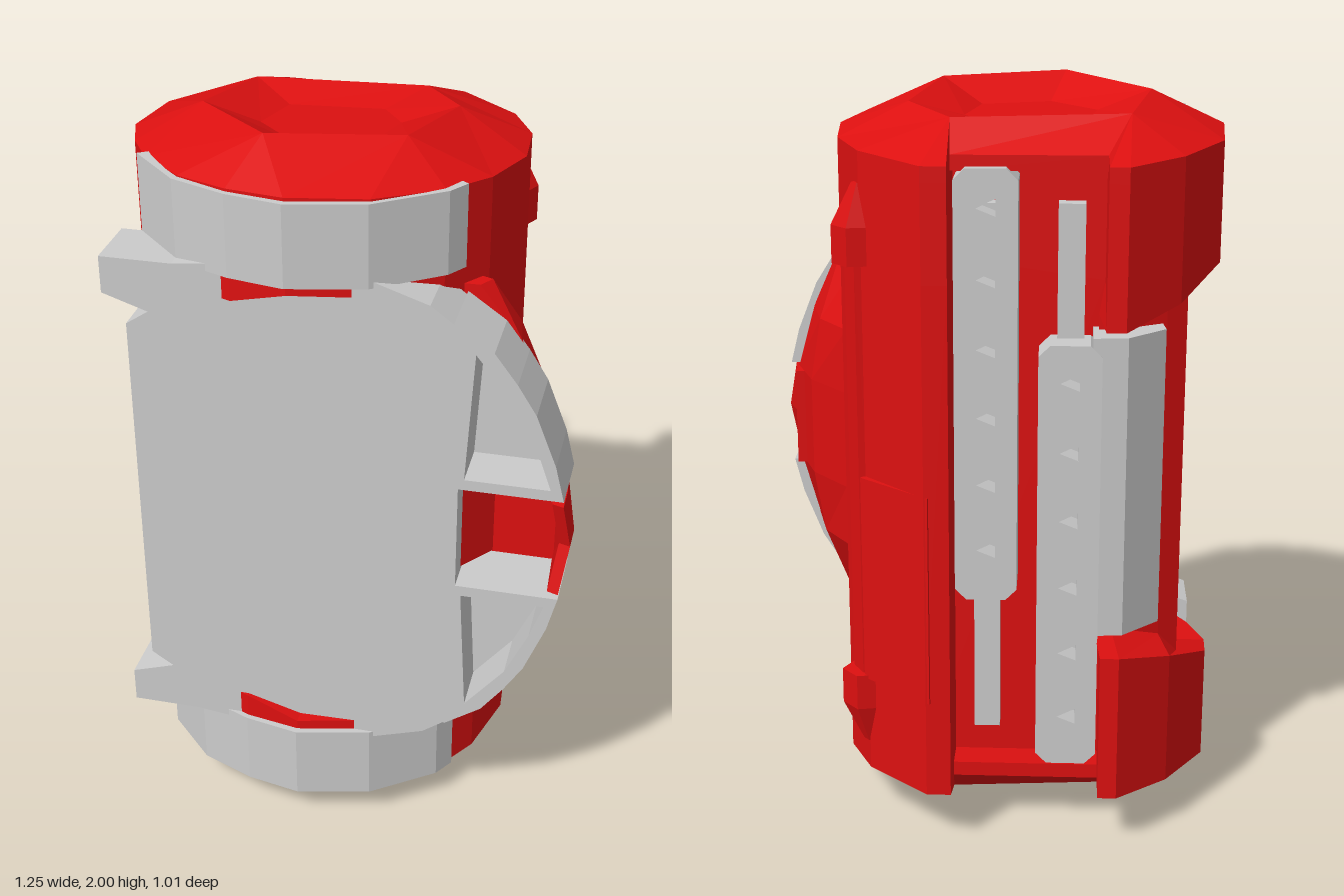
import * as THREE from 'three';

const red = new THREE.MeshStandardMaterial({ color: 0xdd1010, flatShading: true, side: THREE.DoubleSide });
const grey = new THREE.MeshStandardMaterial({ color: 0xcccccc, flatShading: true, side: THREE.DoubleSide });

// skin through equal-length rings of [x, y, z], listed bottom to top, closed by end fans
function loft(rings) {
  const n = rings[0].length, pos = rings.flat(2), idx = [];
  for (let r = 0; r < rings.length - 1; r++) {
    for (let i = 0; i < n; i++) {
      const j = (i + 1) % n, a = r * n + i, b = r * n + j;
      idx.push(a, b, b + n, a, b + n, a + n);
    }
  }
  [[0, true], [rings.length - 1, false]].forEach(([r, flip]) => {
    const c = pos.length / 3;
    for (let k = 0; k < 3; k++) pos.push(rings[r].reduce((s, p) => s + p[k], 0) / n);
    for (let i = 0; i < n; i++) {
      const a = r * n + i, b = r * n + (i + 1) % n;
      idx.push(...(flip ? [c, b, a] : [c, a, b]));
    }
  });
  const g = new THREE.BufferGeometry();
  g.setAttribute('position', new THREE.Float32BufferAttribute(pos, 3));
  g.setIndex(idx);
  g.computeVertexNormals();
  return g;
}

const toShape = (pts) => new THREE.Shape(pts.map(([x, y]) => new THREE.Vector2(x, y)));

// front-facing outline [x, y], pushed from z0 to z1, with optional holes
function panel(pts, z0, z1, holes = []) {
  const s = toShape(pts);
  holes.forEach((h) => s.holes.push(toShape(h)));
  return new THREE.ExtrudeGeometry(s, { depth: z1 - z0, bevelEnabled: false }).translate(0, 0, z0);
}

// plan outline [x, z], raised from y0 to y1
function slab(pts, y0, y1) {
  const s = toShape(pts.map(([x, z]) => [x, -z]));
  return new THREE.ExtrudeGeometry(s, { depth: y1 - y0, bevelEnabled: false }).rotateX(-Math.PI / 2).translate(0, y0, 0);
}

const flipY = (pts) => pts.map(([x, y]) => [x, 2 - y]);

export function createModel() {
  const model = new THREE.Group();
  const add = (name, geo, mat) => {
    const m = new THREE.Mesh(geo, mat);
    m.name = name;
    model.add(m);
    return m;
  };
  // adds a part and its copy mirrored about mid height
  const addPair = (name, make, mat) => {
    add('upper' + name, make((p) => p, (a, b) => [a, b]), mat);
    add('lower' + name, make(flipY, (a, b) => [2 - b, 2 - a]), mat);
  };

  // plan of the canister; the last points trace the slot in its back
  const round = [[-0.36, -0.5], [-0.5, -0.37], [-0.61, -0.18], [-0.625, 0.04], [-0.58, 0.17], [-0.515, 0.28],
    [-0.39, 0.4], [-0.25, 0.46], [-0.1, 0.485], [0.1, 0.44], [0.26, 0.325], [0.35, 0.2], [0.405, 0.02],
    [0.39, -0.17], [0.32, -0.33], [0.15, -0.5]];
  const plan = (floor) => [...round, [0.085, -0.5], [0.085, floor], [-0.31, floor], [-0.31, -0.5]];
  const capPlan = plan(-0.37), slotPlan = plan(-0.27);
  const midPlan = slotPlan.map(([x, z]) => (x < -0.05 && z < -0.36
    ? [x * 0.95, z * 0.6]
    : [Math.min(Math.max(x, -0.53), 0.395), Math.min(z, 0.4)]));

  // six-sided rim and dish of the end caps
  const hex = [[-0.37, -0.23], [0.09, -0.28], [0.21, -0.1], [0.14, 0.21], [-0.2, 0.3], [-0.43, 0.06]];
  const angle = ([x, z]) => Math.atan2(z, x + 0.11);
  const gap = (a, b) => Math.abs(Math.atan2(Math.sin(a - b), Math.cos(a - b)));
  const rimPlan = capPlan.map((p) => hex.reduce((best, h) =>
    (gap(angle(h), angle(p)) < gap(angle(best), angle(p)) ? h : best)));
  const dishPlan = rimPlan.map(([x, z]) => [-0.11 + (x + 0.11) * 0.55, z * 0.55]);

  const edgeY = (x, z) => 1.885 + 0.07 * z;
  const stepY = (x, z) => (x < -0.1 ? 1.62 + 0.36 * Math.min(0, z) : 1.61 + 0.11 * z);
  const half = [
    [midPlan, stepY],
    [slotPlan, stepY],
    [slotPlan, (x, z) => edgeY(x, z) - 0.04],
    [capPlan, (x, z) => edgeY(x, z) - 0.04],
    [capPlan, edgeY],
    [rimPlan, (x, z) => 1.969 + 0.104 * z],
    [dishPlan, (x, z) => 1.92 + 0.05 * z],
  ];
  const upper = half.map(([pl, f]) => pl.map(([x, z], i) => [x, f(...(pl === midPlan ? slotPlan[i] : [x, z])), z]));
  const lower = upper.map((ring) => ring.map(([x, y, z]) => [x, 2 - y, z])).reverse();
  add('canisterBody', loft([...lower, ...upper]), red);

  // side bulge that carries the grip
  const bulge = [[0.36, 0.34, 0.22, 0.34], [0.5, 0.45, 0.1, 0.37], [0.68, 0.53, -0.02, 0.4], [0.86, 0.58, -0.02, 0.41]];
  const sections = [...bulge, ...bulge.map(([y, ...r]) => [2 - y, ...r]).reverse()];
  add('gripBulge', loft(sections.map(([y, xo, zs, xs]) => [
    [0.2, y, zs], [0.2, y, 0.27], [xo, y, 0.27],
    [(xo + xs) / 2 + 0.025, y, (zs + 0.27) / 2 - 0.015], [xs, y, zs],
  ])), red);

  // front plate with a tab at each left-hand corner
  const plateTop = [[-0.53, 1.52], [-0.47, 1.56], [-0.59, 1.6], [-0.59, 1.7], [-0.4, 1.7], [-0.15, 1.73],
    [0.1, 1.71], [0.25, 1.66], [0.33, 1.6]];
  add('frontPlate', panel([...plateTop, ...flipY(plateTop).reverse()], 0.28, 0.45), grey);

  // curved bands wrapping the front of both ends
  const bandOut = [[-0.535, 0.28], [-0.4, 0.415], [-0.25, 0.475], [-0.1, 0.503], [0.1, 0.457], [0.27, 0.335], [0.305, 0.28]];
  const bandIn = bandOut.map(([x, z]) => [-0.11 + (x + 0.11) * 0.9, z * 0.9]).reverse();
  addPair('FrontBand', (f, span) => slab([...bandOut, ...bandIn], ...span(1.69, 1.91)), grey);

  // arched guards beside the plate, each with a sunken pocket
  const arch = [[0.31, 1.15], [0.31, 1.62], [0.41, 1.55], [0.47, 1.47], [0.52, 1.39], [0.575, 1.25], [0.6, 1.15]];
  const pocket = [[0.345, 1.18], [0.365, 1.54], [0.47, 1.41], [0.53, 1.28], [0.565, 1.18]];
  addPair('GuardArch', (f) => panel(f(arch), 0.26, 0.45, [f(pocket)]), grey);
  addPair('GuardPocketFloor', (f) => panel(f(pocket), 0.27, 0.31), grey);

  // red latch between the guards
  add('latchFloor', slab([[0.31, 0.2], [0.58, 0.2], [0.58, 0.28], [0.4, 0.28], [0.31, 0.4]], 0.86, 1.14), red);
  const latch = [[0.56, 0.26], [0.585, 0.26], [0.6, 0.37], [0.6, 0.45], [0.57, 0.44]];
  add('latchLip', loft([0.865, 1, 1.135].map((y, k) => latch.map(([x, z], i) =>
    (k === 1 && i > 1 ? [x + 0.02, y, z - 0.03] : [x, y, z])).map((p) => [p[0], p[1], p[2]]).reverse())), red);

  // lugs and the ridge joining them
  const lug = [[0.3, -0.35], [0.35, -0.36], [0.395, -0.31], [0.37, -0.26], [0.3, -0.24]];
  const lugTip = lug.map(([x, z]) => [0.31 + (x - 0.31) * 0.35, -0.31 + (z + 0.31) * 0.35]);
  addPair('Lug', (f) => {
    const ring = (pts, y) => pts.map(([x, z]) => [x, f([[x, y]])[0][1], z]);
    return loft([ring(lug, 1.57), ring(lug, 1.67), ring(lugTip, 1.78)]);
  }, red);
  add('sideRidge', slab([[0.29, -0.33], [0.335, -0.335], [0.365, -0.285], [0.3, -0.27]], 0.42, 1.58), red);
  add('lowerBackPanel', slab([[0.14, -0.505], [0.33, -0.345], [0.3, -0.3], [0.12, -0.46]], 0.42, 1.0), red);

  // two staggered rails in the back slot, pierced by triangular holes
  const rail = (name, cx, y0, y1) => {
    const w = 0.082, c = 0.03;
    const pts = [[cx - w + c, y0], [cx + w - c, y0], [cx + w, y0 + c], [cx + w, y1 - c],
      [cx + w - c, y1], [cx - w + c, y1], [cx - w, y1 - c], [cx - w, y0 + c]];
    const holes = [];
    for (let i = 0; i < 6; i++) {
      const y = y0 + 0.14 + i * (y1 - y0 - 0.24) / 5;
      holes.push([[cx - 0.025, y - 0.02], [cx + 0.025, y], [cx - 0.025, y + 0.025]]);
    }
    add(name, panel(pts, -0.4, -0.28, holes), grey);
    add(name + 'Core', new THREE.BoxGeometry(0.07, 1.46, 0.06).translate(cx, 1, -0.29), grey);
  };
  rail('upperRail', -0.005, 0.68, 1.83);
  rail('lowerRail', -0.222, 0.2, 1.38);

  // block reaching out through the gap in the slot wall
  add('railSideBlock', slab([[-0.28, -0.4], [-0.37, -0.39], [-0.47, -0.29], [-0.46, -0.2], [-0.28, -0.25]], 0.58, 1.4), grey);

  return model;
}
